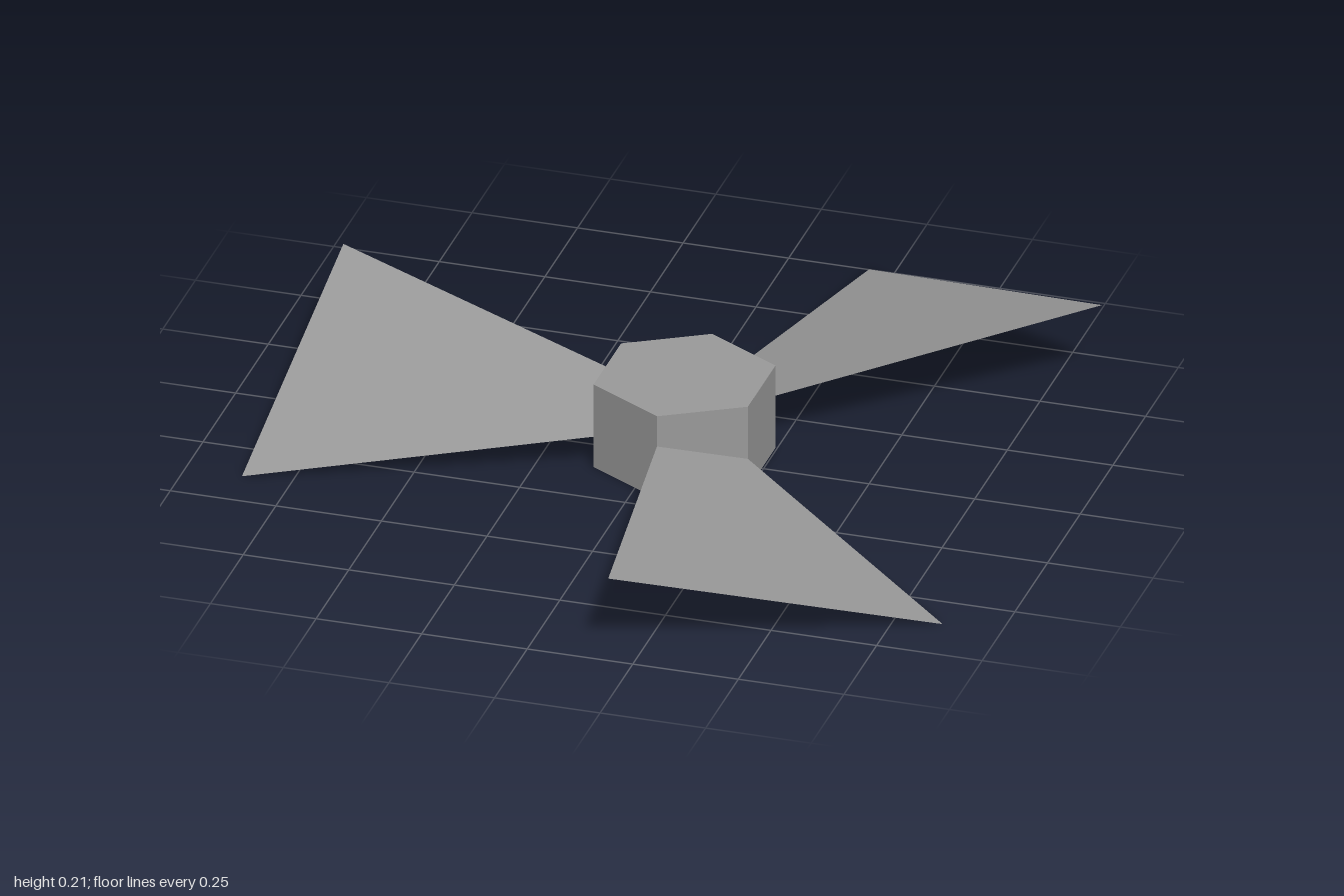
import * as THREE from 'three';

const HUB_X = 0.063, HUB_R = 0.211, HUB_H = 0.21;

export function createModel() {
  const model = new THREE.Group();
  model.name = 'propeller';
  const grey = new THREE.MeshStandardMaterial({ color: 0x999999, side: THREE.DoubleSide, flatShading: true });
  grey.name = 'grey';

  const add = (name, geometry, parent) => {
    const mesh = new THREE.Mesh(geometry, grey);
    mesh.name = name;
    parent.add(mesh);
    return mesh;
  };

  const rotor = new THREE.Group();
  rotor.name = 'rotor';
  rotor.position.x = HUB_X;
  model.add(rotor);

  // Hexagonal hub: six walls and a top, open underneath
  add('hubWalls', new THREE.CylinderGeometry(HUB_R, HUB_R, HUB_H, 6, 1, true), rotor).position.y = HUB_H / 2;
  const top = new THREE.CircleGeometry(HUB_R, 6, Math.PI / 2).rotateX(-Math.PI / 2);
  add('hubTop', top, rotor).position.y = HUB_H;

  // Flat pitched blade along +x, flaring outwards; its +z edge is the high one
  const root = HUB_R * Math.cos(Math.PI / 6), tip = 0.928;
  const blade = new THREE.PlaneGeometry(1, 1).rotateX(-Math.PI / 2);
  const p = blade.attributes.position;
  for (let i = 0; i < p.count; i++) {
    const outer = p.getX(i) > 0, side = Math.sign(p.getZ(i));
    p.setXYZ(i,
      outer ? tip : root,
      HUB_H / 2 + side * (outer ? 0.103 : 0.028),
      side * (outer ? 0.388 : HUB_R / 2));
  }
  blade.computeVertexNormals();

  // Three blades on alternate hub walls
  for (let i = 0; i < 3; i++) {
    add('blade' + (i + 1), blade, rotor).rotation.y = Math.PI / 3 + (i * 2 * Math.PI) / 3;
  }
  return model;
}
